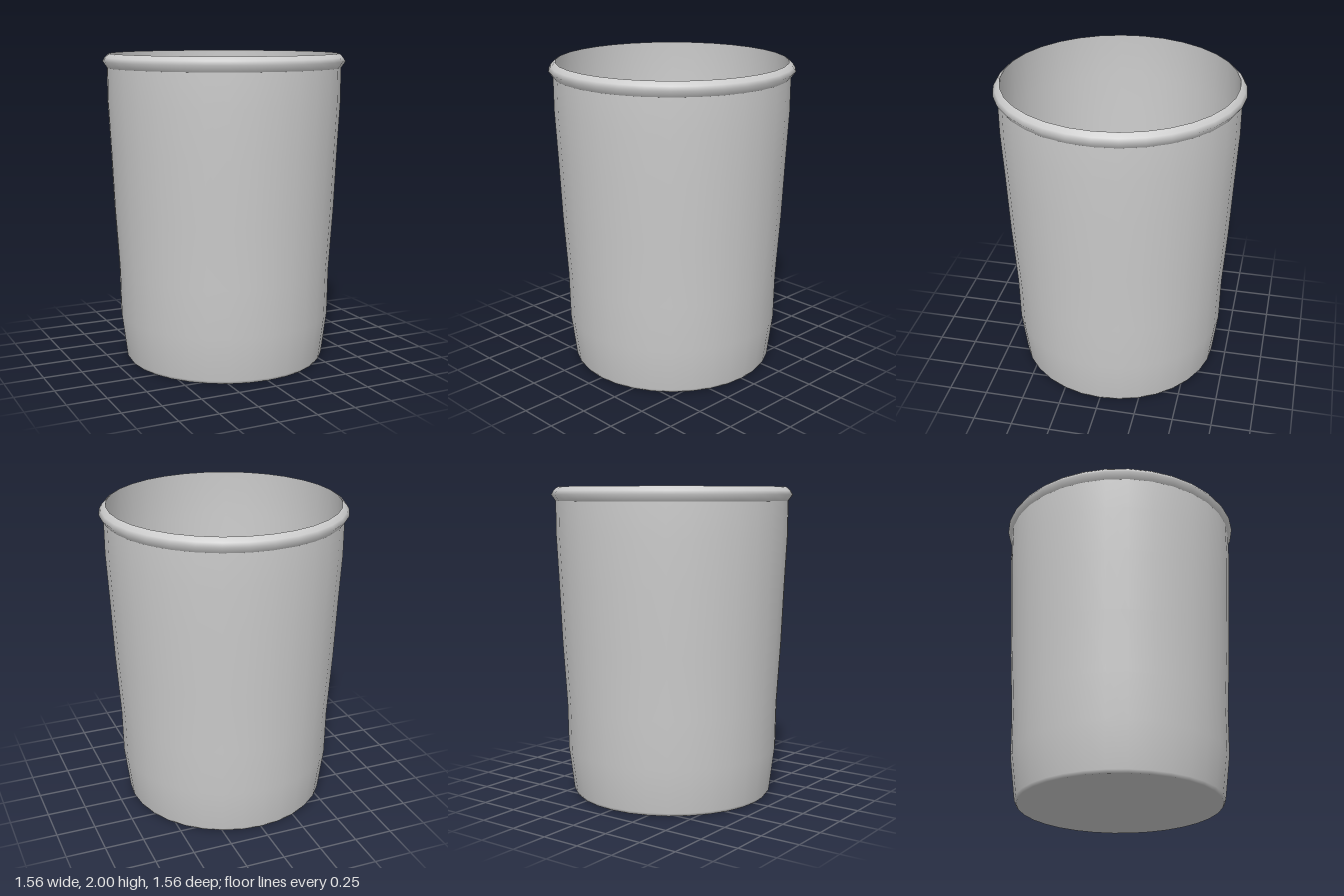
import * as THREE from 'three';

const SIDES = 32;
const WALL = 0.015;

export function createModel() {
  const group = new THREE.Group();
  group.name = 'cup';
  const material = new THREE.MeshStandardMaterial({ color: 0xcccccc, side: THREE.DoubleSide });

  const lathe = (name, points) => {
    const profile = points.map(([r, y]) => new THREE.Vector2(r, y));
    const mesh = new THREE.Mesh(new THREE.LatheGeometry(profile, SIDES), material);
    mesh.name = name;
    group.add(mesh);
  };

  // tapered side wall, listed from the foot up to the rim
  const wall = [
    [0.655, 0.02], [0.69, 0.3], [0.695, 0.6], [0.72, 1.0],
    [0.737, 1.4], [0.752, 1.7], [0.752, 1.91],
  ];

  // underside with a small bevel, running smoothly into the outer wall
  lathe('outerWall', [[0, 0], [0.642, 0], ...wall]);

  // rolled lip around the opening
  lathe('rim', [[0.752, 1.91], [0.78, 1.95], [0.765, 1.975], [0.745, 1.995], [0.735, 2.0]]);

  // thin inner skin and floor, listed from the rim down
  const inner = wall.map(([r, y]) => [r - WALL, y]).reverse();
  lathe('innerWall', [[0.735, 2.0], ...inner, [0, 0.02]]);

  return group;
}
